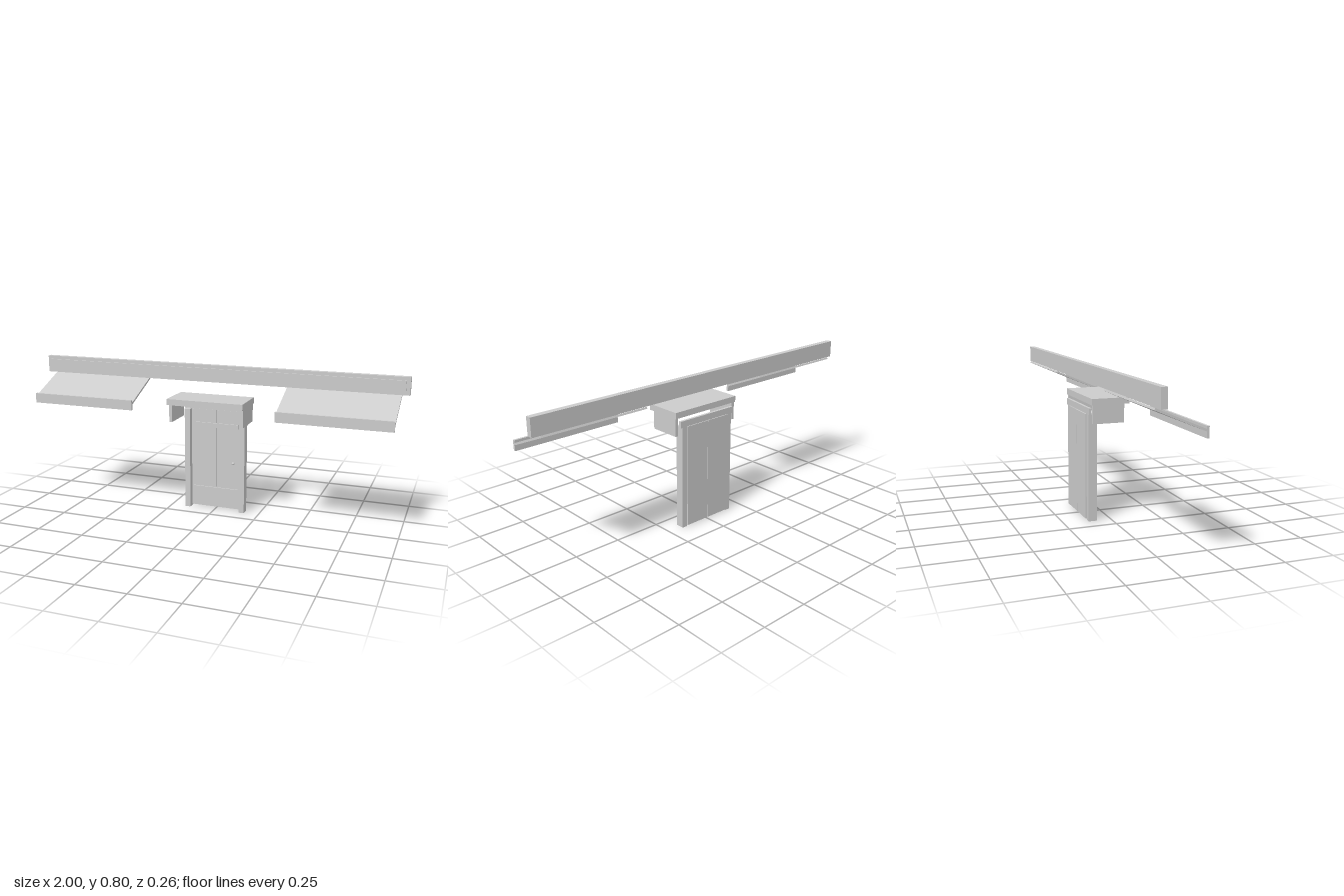
import * as THREE from 'three';

const grey = new THREE.MeshStandardMaterial({ color: 0xcccccc });
grey.name = 'plain grey';

// Box given by its min and max along each axis
function box(parent, name, [x0, x1], [y0, y1], [z0, z1]) {
  const mesh = new THREE.Mesh(new THREE.BoxGeometry(x1 - x0, y1 - y0, z1 - z0), grey);
  mesh.position.set((x0 + x1) / 2, (y0 + y1) / 2, (z0 + z1) / 2);
  mesh.name = name;
  parent.add(mesh);
  return mesh;
}

function group(parent, name) {
  const g = new THREE.Group();
  g.name = name;
  parent.add(g);
  return g;
}

// Sloping planks with a fascia board along the low front edge
function addAwning(parent, name, x0, x1) {
  const awning = group(parent, name);
  const slope = group(awning, 'slopingPlanks');
  const count = 8, w = (x1 - x0) / count;
  const rise = 0.1, run = 0.234, length = Math.hypot(rise, run);
  for (let i = 0; i < count; i++) {
    box(slope, 'plank', [x0 + i * w, x0 + (i + 1) * w], [-0.005, 0.005], [-length / 2, length / 2]);
  }
  slope.position.set(0, 0.656, 0);
  slope.rotation.x = Math.atan2(rise, run);
  const pieces = 4, fw = (x1 - x0) / pieces;
  for (let i = 0; i < pieces; i++) {
    box(awning, 'fascia', [x0 + i * fw, x0 + (i + 1) * fw], [0.572, 0.624], [0.117, 0.129]);
  }
}

export function createModel() {
  const model = new THREE.Group();
  model.name = 'shopfrontFittings';

  // Long sign board with a raised front panel
  const sign = group(model, 'signBoard');
  box(sign, 'board', [-1, 1], [0.709, 0.799], [-0.108, -0.078]);
  box(sign, 'raisedPanel', [-0.98, 0.98], [0.727, 0.782], [-0.078, -0.07]);

  // Awnings either side
  addAwning(model, 'rightAwning', -0.963, -0.386);
  addAwning(model, 'leftAwning', 0.386, 0.96);

  // Door hood on two side brackets
  const hood = group(model, 'doorHood');
  box(hood, 'hoodSlab', [-0.206, 0.206], [0.605, 0.637], [-0.115, 0.083]);
  for (const s of [-1, 1]) {
    const x = s * 0.195;
    box(hood, 'sideBracket', [x - 0.008, x + 0.008], [0.51, 0.605], [-0.108, 0.057]);
  }

  // Door frame
  const frame = group(model, 'doorFrame');
  for (const s of [-1, 1]) {
    const x = s * 0.155;
    box(frame, 'jamb', [x - 0.015, x + 0.015], [0, 0.555], [-0.121, -0.077]);
  }
  box(frame, 'lintel', [-0.18, 0.18], [0.553, 0.587], [-0.122, -0.108]);

  // Two-board door with cross battens
  const door = group(model, 'door');
  for (const s of [-1, 1]) {
    const x = s * 0.0705;
    box(door, 'doorBoard', [x - 0.0695, x + 0.0695], [0.007, 0.554], [-0.127, -0.107]);
  }
  for (const y of [0.108, 0.47]) {
    box(door, 'batten', [-0.128, 0.125], [y - 0.012, y + 0.012], [-0.107, -0.1]);
  }

  // Door knob and its stem
  const stem = new THREE.Mesh(new THREE.CylinderGeometry(0.004, 0.004, 0.016, 12), grey);
  stem.rotation.x = Math.PI / 2;
  stem.position.set(0.103, 0.27, -0.1);
  stem.name = 'knobStem';
  const knob = new THREE.Mesh(new THREE.SphereGeometry(0.008, 16, 10), grey);
  knob.position.set(0.103, 0.27, -0.09);
  knob.name = 'knob';
  door.add(stem, knob);

  return model;
}
